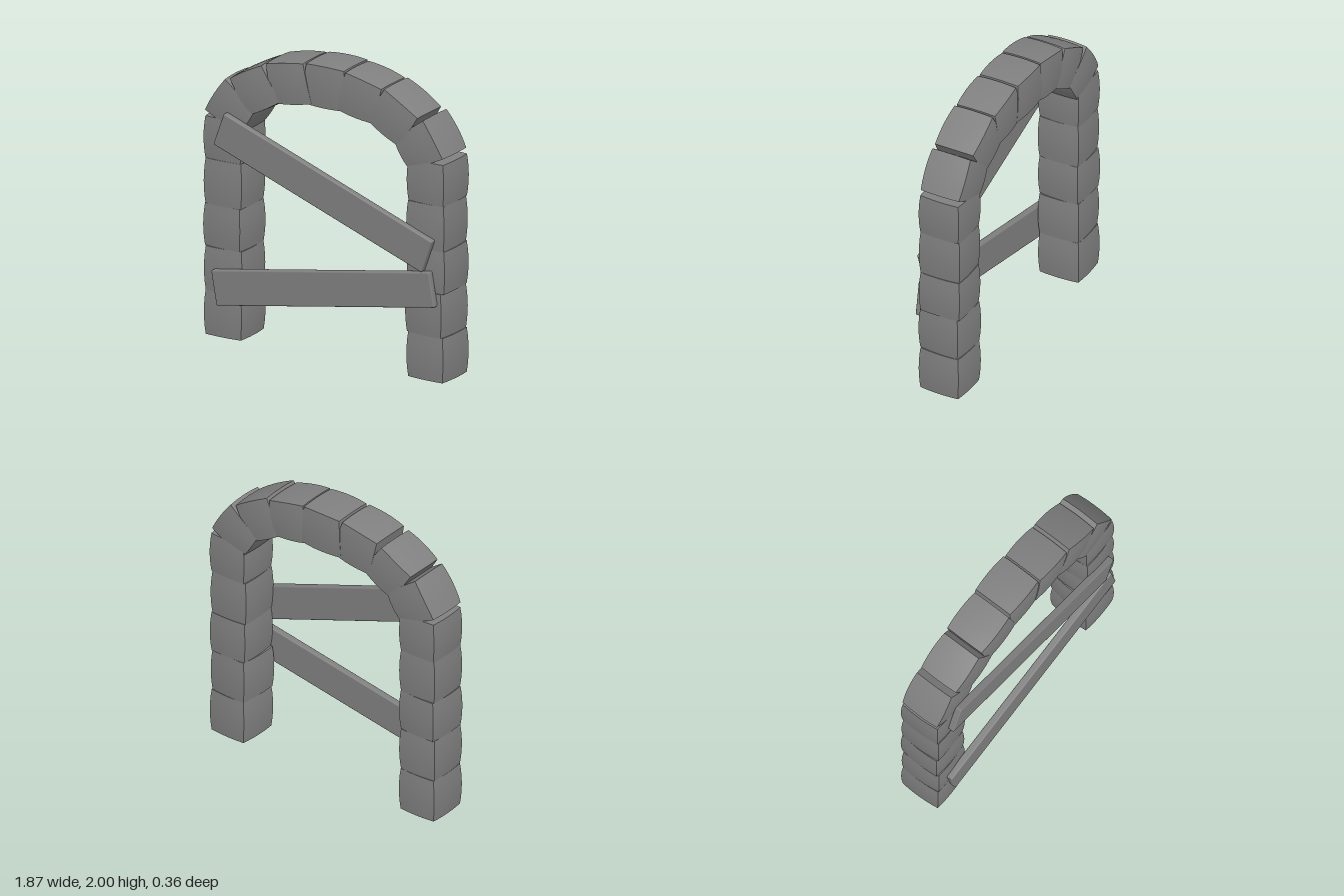
import * as THREE from 'three';
import { RoundedBoxGeometry } from 'three/addons/geometries/RoundedBoxGeometry.js';

const grey = new THREE.MeshStandardMaterial({ color: 0x808080 });
const Z_MID = -0.021, Z_HALF = 0.141;

// Bulging block whose front outline is a quad: corners a, b (low edge), c, d (high edge).
// bx and by swell its sides, shift moves it in z, yaw turns it slightly.
function stone(name, [a, b, c, d], bx, by, shift, yaw = 0) {
  const geo = new THREE.BoxGeometry(2, 2, 2, 6, 6, 6);
  const pos = geo.attributes.position;
  const cx = (a[0] + b[0] + c[0] + d[0]) / 4;
  for (let i = 0; i < pos.count; i++) {
    const u = pos.getX(i), v = pos.getY(i), w = pos.getZ(i);
    const swell = (k, s, t) => 1 + k * (2 - s * s - t * t) / 2;
    const s = (u * swell(bx, v, w) + 1) / 2, t = (v * swell(by, u, w) + 1) / 2;
    const at = j => (a[j] * (1 - s) + b[j] * s) * (1 - t) + (d[j] * (1 - s) + c[j] * s) * t;
    pos.setXYZ(i, at(0) - cx, at(1), w * swell(0.11, u, v) * Z_HALF);
  }
  geo.computeVertexNormals();
  const mesh = new THREE.Mesh(geo, grey);
  mesh.name = name;
  mesh.position.set(cx, 0, Z_MID + shift);
  mesh.rotation.y = yaw;
  return mesh;
}

// Stack of five stones; each stone has its own small sideways offset and turn
function pillar(name, x, offsets, yaws) {
  const group = new THREE.Group();
  group.name = name;
  const levels = [0, 0.305, 0.605, 0.895, 1.205, 1.49];
  for (let i = 0; i < 5; i++) {
    const l = x - 0.133 + offsets[i], r = x + 0.133 + offsets[i];
    const y0 = levels[i], y1 = levels[i + 1];
    group.add(stone('pillarStone', [[l, y0], [r, y0], [r, y1], [l, y1]],
      0.14, 0, (i % 2) * 0.003, yaws[i]));
  }
  return group;
}

// Seven wedge stones: outer corners leave notches, inner ends overlap
function arch() {
  const group = new THREE.Group();
  group.name = 'arch';
  const outer = [
    [[-0.917, 1.53], [-0.765, 1.765]], [[-0.725, 1.78], [-0.485, 1.91]],
    [[-0.45, 1.93], [-0.165, 1.982]], [[-0.145, 1.986], [0.145, 1.986]],
    [[0.16, 1.982], [0.435, 1.92]], [[0.46, 1.925], [0.715, 1.775]],
    [[0.755, 1.765], [0.907, 1.53]],
  ];
  const inner = [[-0.635, 1.44], [-0.55, 1.572], [-0.36, 1.678], [-0.13, 1.715],
    [0.13, 1.715], [0.36, 1.678], [0.55, 1.572], [0.635, 1.44]];
  outer.forEach(([d, c], i) => {
    const p = inner[i], q = inner[i + 1];
    const len = Math.hypot(q[0] - p[0], q[1] - p[1]);
    const ex = (q[0] - p[0]) / len * 0.03, ey = (q[1] - p[1]) / len * 0.03;
    const a = [p[0] - ex, p[1] - ey], b = [q[0] + ex, q[1] + ey];
    group.add(stone(i === 3 ? 'keystone' : 'archStone', [a, b, c, d],
      0.03, 0.1, i === 3 ? -0.006 : (i % 2) * 0.003));
  });
  return group;
}

// Board nailed across the front
function plank(name, x, y, length, degrees) {
  const mesh = new THREE.Mesh(new RoundedBoxGeometry(length, 0.239, 0.048, 2, 0.01), grey);
  mesh.name = name;
  mesh.position.set(x, y, 0.154);
  mesh.rotation.z = THREE.MathUtils.degToRad(degrees);
  return mesh;
}

export function createModel() {
  const model = new THREE.Group();
  model.name = 'boardedArchway';
  model.add(
    pillar('rightPillar', -0.782, [0.002, 0.003, -0.001, 0.002, 0], [0.02, 0.04, -0.02, 0.03, 0.01]),
    pillar('leftPillar', 0.777, [0, -0.006, 0.002, -0.002, 0.002], [-0.02, -0.05, 0.02, 0.03, -0.01]),
    arch(),
    plank('upperPlank', 0.02, 1.15, 1.70, -19.9),
    plank('lowerPlank', 0.021, 0.494, 1.7, 10.1),
  );
  return model;
}
